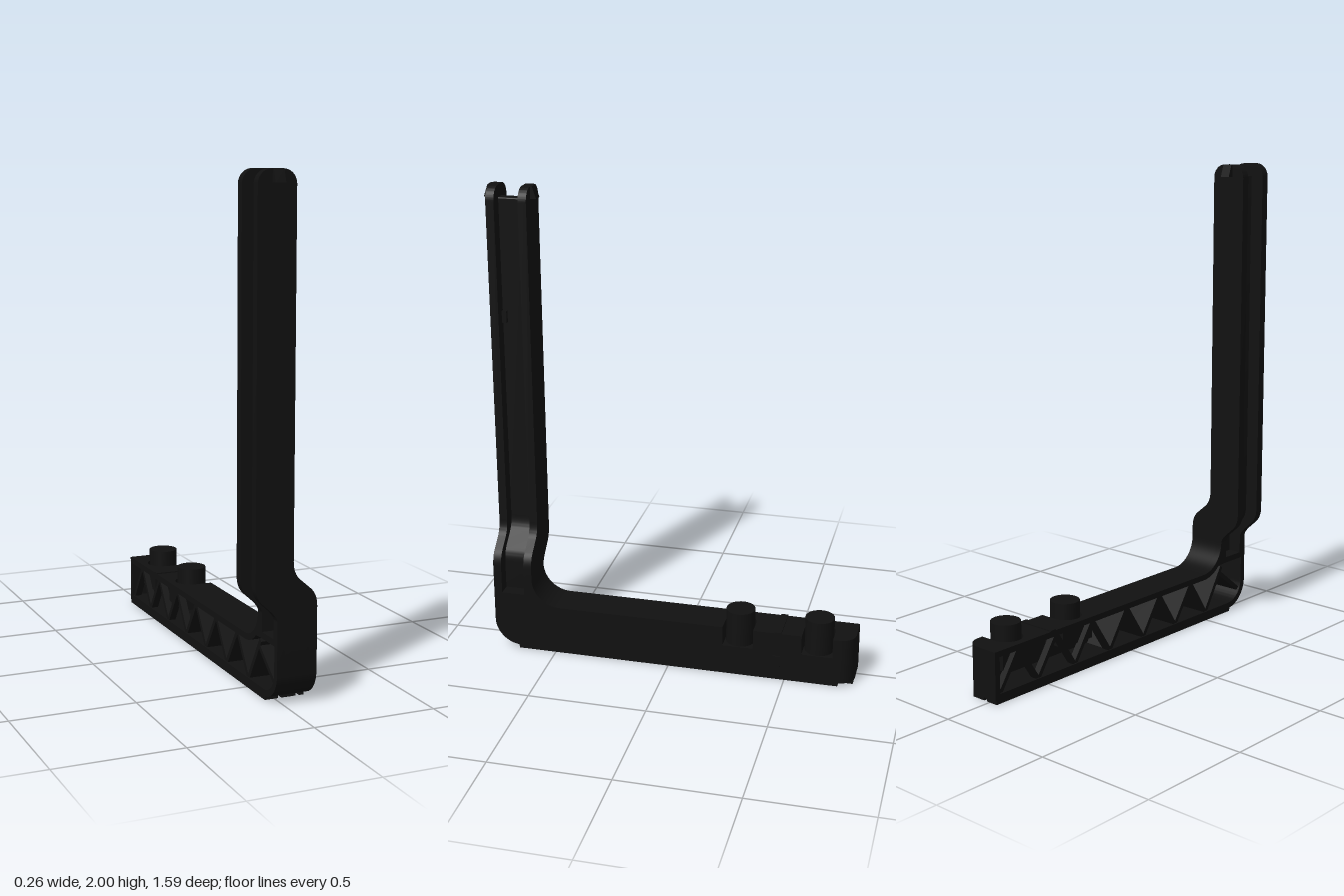
import * as THREE from 'three';
import { toCreasedNormals } from 'three/addons/utils/BufferGeometryUtils.js';

const material = new THREE.MeshStandardMaterial({ color: 0x111111 });
const POCKETS = [0.30, 0.635]; // distance of each knob behind the centre
const POCKET_R = 0.065;
const PI = Math.PI;

export function createModel() {
  const model = new THREE.Group();

  const add = (name, geometry) => {
    const mesh = new THREE.Mesh(toCreasedNormals(geometry, 0.6), material);
    mesh.name = name;
    model.add(mesh);
    return mesh;
  };
  const box = (name, x0, x1, y0, y1, z0, z1) => {
    const g = new THREE.BoxGeometry(x1 - x0, y1 - y0, z1 - z0);
    add(name, g.translate((x0 + x1) / 2, (y0 + y1) / 2, (z0 + z1) / 2));
  };
  const extrude = (shape, depth, steps = 1) =>
    new THREE.ExtrudeGeometry(shape, { depth, steps, bevelEnabled: false, curveSegments: 10 });
  // Side profiles are drawn as (-z, y) and extruded along x.
  const alongX = (shape, x0, x1, steps) =>
    extrude(shape, x1 - x0, steps).rotateY(PI / 2).translate(x0, 0, 0);

  // Cut the knob pockets into a top edge travelled from back to front.
  const topEdge = (s, y, floor, half) => {
    for (const c of [...POCKETS].reverse()) {
      s.lineTo(c + half, y);
      s.lineTo(c + half, floor);
      s.lineTo(c - half, floor);
      s.lineTo(c - half, y);
    }
  };

  // L-shaped side outline: long arm, rounded bend, fork for the upright
  const armOutline = (pockets) => {
    const s = new THREE.Shape();
    s.moveTo(-0.655, 0.015);
    s.lineTo(0.79, 0.015);
    s.lineTo(0.79, 0.215);
    if (pockets) topEdge(s, 0.215, 0.13, POCKET_R);
    s.lineTo(-0.48, 0.215);
    s.absarc(-0.48, 0.335, 0.12, 1.5 * PI, PI, true);
    s.lineTo(-0.635, 0.335);
    s.lineTo(-0.635, 0.26);
    s.lineTo(-0.735, 0.26);
    s.lineTo(-0.735, 0.335);
    s.lineTo(-0.77, 0.335);
    s.lineTo(-0.77, 0.13);
    s.absarc(-0.655, 0.13, 0.115, PI, 1.5 * PI, false);
    return s;
  };
  const armCavity = (pockets) => {
    const h = new THREE.Path();
    h.moveTo(-0.655, 0.04);
    h.lineTo(0.765, 0.04);
    h.lineTo(0.765, 0.19);
    if (pockets) topEdge(h, 0.19, 0.11, POCKET_R + 0.02);
    h.lineTo(-0.48, 0.19);
    h.absarc(-0.48, 0.335, 0.145, 1.5 * PI, 1.25 * PI, true);
    h.lineTo(-0.62, 0.235);
    h.lineTo(-0.745, 0.235);
    h.lineTo(-0.745, 0.13);
    h.absarc(-0.655, 0.13, 0.09, PI, 1.5 * PI, false);
    return h;
  };
  // Round the rear corner on the +x side.
  const roundRear = (g) => {
    const p = g.attributes.position, r = 0.065;
    for (let i = 0; i < p.count; i++) {
      const d = Math.min(r, Math.max(0, p.getX(i) - 0.125 + r));
      p.setZ(i, Math.max(p.getZ(i), -0.79 + r - Math.sqrt(r * r - d * d)));
    }
    g.computeVertexNormals();
    return g;
  };

  // Arm: open rim, pocketed rim and closed side plate
  const rim = armOutline(false);
  rim.holes.push(armCavity(false));
  add('armOpenRim', alongX(rim, -0.04, -0.01));
  const innerRim = armOutline(true);
  innerRim.holes.push(armCavity(true));
  add('armWalls', roundRear(alongX(innerRim, -0.01, 0.09, 8)));
  add('armSidePlate', roundRear(alongX(armOutline(true), 0.09, 0.125, 8)));

  // Knobs standing in rounded pockets
  for (const c of POCKETS) {
    for (const side of [-1, 1]) {
      const corner = new THREE.Shape();
      corner.moveTo(-0.01, 0);
      corner.lineTo(-0.01, side * POCKET_R);
      corner.lineTo(0.055, side * POCKET_R);
      corner.absarc(0.055, 0, POCKET_R, side * PI / 2, side * PI, side < 0);
      add('pocketCorner', extrude(corner, 0.085).rotateX(PI / 2).translate(0, 0.215, -c));
    }
    add('knob', new THREE.CylinderGeometry(0.061, 0.061, 0.15, 32).translate(0.06, 0.205, -c));
  }

  // Zigzag ribs in the open side
  const rib = (a, b, x1) => {
    const dx = b[0] - a[0], dy = b[1] - a[1], len = Math.hypot(dx, dy);
    const nx = -dy / len * 0.009, ny = dx / len * 0.009;
    const s = new THREE.Shape([[a, 1], [a, -1], [b, -1], [b, 1]].map(
      ([p, k]) => new THREE.Vector2(p[0] + k * nx, p[1] + k * ny)));
    add('rib', alongX(s, -0.034, x1));
  };
  const RIBS = 12;
  const node = (i) => [-0.50 + i * 1.26 / RIBS, i % 2 ? 0.195 : 0.035];
  for (let i = 0; i < RIBS; i++) rib(node(i), node(i + 1), node(i + 1)[0] > 0.2 ? -0.005 : 0.095);
  rib([-0.50, 0.035], [-0.61, 0.22], 0.095);
  rib([-0.73, 0.09], [-0.59, 0.20], 0.095);

  // Upright: front outline with a sideways jog above the bend
  const uprightShape = (xl, xr, y0, top, r) => {
    const s = new THREE.Shape();
    s.moveTo(xl + 0.09, y0);
    s.lineTo(xr + 0.1, y0);
    s.lineTo(xr + 0.1, 0.38);
    s.quadraticCurveTo(xr + 0.1, 0.425, xr + 0.073, 0.45);
    s.lineTo(xr + 0.027, 0.49);
    s.quadraticCurveTo(xr, 0.515, xr, 0.56);
    s.lineTo(xr, top - r);
    s.absarc(xr - r, top - r, r, 0, PI / 2, false);
    s.lineTo(xl + r, top);
    s.absarc(xl + r, top - r, r, PI / 2, PI, false);
    s.lineTo(xl, 0.48);
    s.quadraticCurveTo(xl, 0.435, xl + 0.027, 0.41);
    s.lineTo(xl + 0.065, 0.375);
    s.quadraticCurveTo(xl + 0.09, 0.35, xl + 0.09, 0.335);
    return s;
  };
  const flange = uprightShape(-0.13, 0.025, 0.335, 2, 0.055);
  for (const z of [0.60, 0.735]) add('uprightFlange', extrude(flange, 0.035).translate(0, 0, z));
  const web = uprightShape(-0.072, -0.03, 0.25, 1.95, 0.005);
  add('uprightWeb', extrude(web, 0.11).translate(0, 0, 0.63));

  // Sloped clips at the top, one on each flange
  const clips = [[0.575, 0.592, 0.63, 0.63], [0.795, 0.778, 0.74, 0.74]];
  for (const [low, high, innerHigh, innerLow] of clips) {
    const s = new THREE.Shape([[low, 1.95], [high, 2], [innerHigh, 2], [innerLow, 1.95]].map(
      ([z, y]) => new THREE.Vector2(-z, y)));
    add('topClip', alongX(s, -0.072, -0.03));
  }
  // Small catches in the upright channel
  for (const z of [0.635, 0.715]) box('channelCatch', -0.035, -0.015, 1.43, 1.48, z, z + 0.02);

  // Strap ridge and side tab between the knobs
  box('strapRidge', -0.041, 0.127, 0.20, 0.22, -0.485, -0.455);
  box('sideTab', 0.12, 0.13, 0.06, 0.11, -0.48, -0.45);

  // Rails under the arm
  for (const [x0, x1] of [[-0.04, 0.015], [0.03, 0.09], [0.105, 0.125]])
    box('baseRail', x0, x1, 0, 0.02, x1 > 0.1 ? -0.725 : -0.785, 0.665);

  return model;
}
